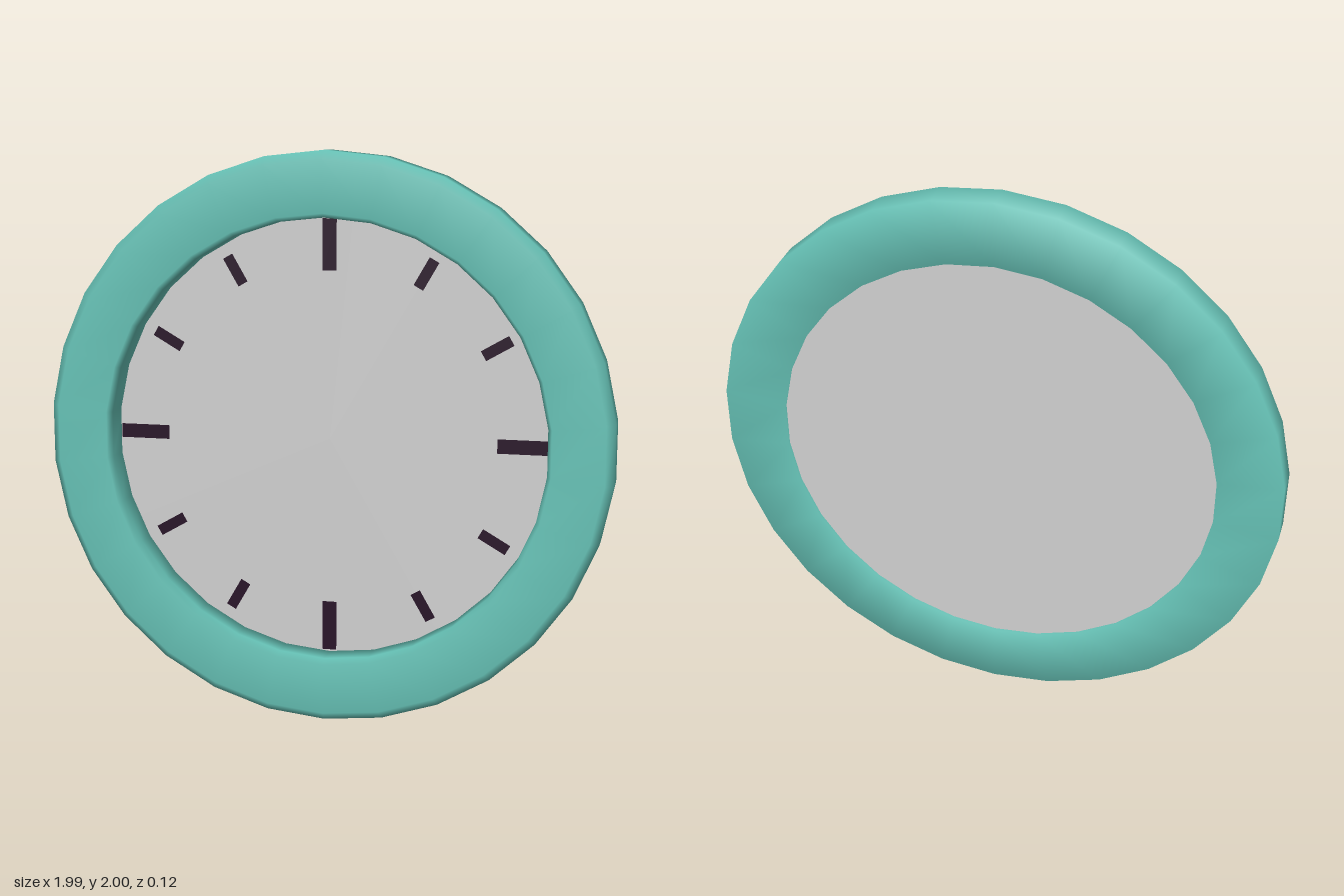
import * as THREE from 'three';
import { mergeVertices } from 'three/addons/utils/BufferGeometryUtils.js';

export function createModel() {
  const clock = new THREE.Group();
  clock.name = 'wallClock';

  const mat = (name, color, side = THREE.FrontSide) => {
    const m = new THREE.MeshStandardMaterial({ color, side });
    m.name = name;
    return m;
  };
  const teal = mat('teal', 0x66c2b6);
  const grey = mat('paleGrey', 0xd0d0d0, THREE.DoubleSide);
  const dark = mat('darkPlum', 0x260f26, THREE.DoubleSide);

  const add = (name, geometry, material) => {
    const mesh = new THREE.Mesh(geometry, material);
    mesh.name = name;
    clock.add(mesh);
    return mesh;
  };

  // Rim: 30-sided ring, chamfered at the front, smooth all the way round
  const profile = [
    [0.775, -0.062], [1, -0.062], [1, 0.035], [0.97, 0.062],
    [0.79, 0.062], [0.775, 0.035], [0.775, -0.062],
  ].map(([r, z]) => new THREE.Vector2(r, z));
  let rim = new THREE.LatheGeometry(profile, 30).rotateX(Math.PI / 2);
  rim.deleteAttribute('uv');
  rim.deleteAttribute('normal');
  rim = mergeVertices(rim, 1e-4);
  rim.computeVertexNormals();
  add('rim', rim, teal);

  // Dial: thin disc set near the back, its edge buried in the rim
  add('dial', new THREE.CircleGeometry(0.8, 30), grey).position.z = -0.051;

  // Hour marks: long ones at the quarters, short ones between
  for (let i = 0; i < 12; i++) {
    const quarter = i % 3 === 0;
    const [inner, outer, width] = quarter ? [0.59, 0.768, 0.05] : [0.62, 0.73, 0.038];
    const mark = new THREE.PlaneGeometry(width, outer - inner);
    mark.translate(0, (inner + outer) / 2, 0).rotateZ(-i * Math.PI / 6);
    add(quarter ? 'quarterMark' : 'hourMark', mark, dark).position.z = -0.0495;
  }

  clock.position.y = 1;
  const model = new THREE.Group();
  model.add(clock);
  return model;
}
